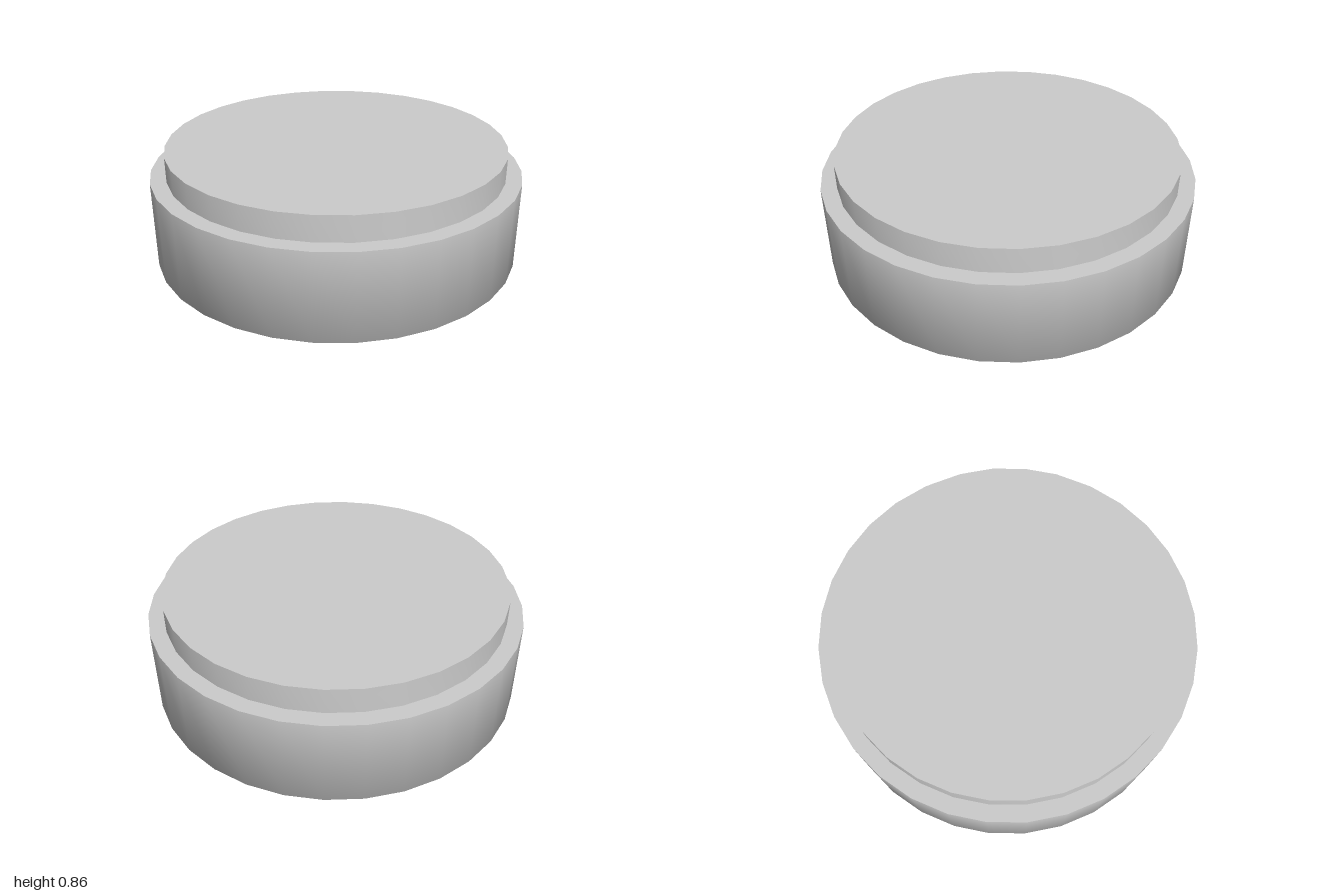
import * as THREE from 'three';
import { mergeVertices } from 'three/addons/utils/BufferGeometryUtils.js';

const SIDES = 32;
const material = new THREE.MeshStandardMaterial({ color: 0xcccccc });
const insideMaterial = new THREE.MeshStandardMaterial({ color: 0xcccccc, side: THREE.BackSide });

// Turned surface with area-weighted smooth normals; profile runs [radius, y]
function turned(profile) {
  const raw = new THREE.LatheGeometry(profile.map(([r, y]) => new THREE.Vector2(r, y)), SIDES);
  raw.deleteAttribute('normal');
  raw.deleteAttribute('uv');
  const geometry = mergeVertices(raw, 1e-4);
  geometry.computeVertexNormals();
  return geometry;
}

function add(parent, name, geometry, mat = material) {
  const mesh = new THREE.Mesh(geometry, mat);
  mesh.name = name;
  parent.add(mesh);
  return mesh;
}

// Rounded slot outline, long axis along the second coordinate
function slotPath(path, cx, radius, half) {
  path.moveTo(cx + radius, -half);
  path.lineTo(cx + radius, half);
  path.absarc(cx, half, radius, 0, Math.PI, false);
  path.lineTo(cx - radius, -half);
  path.absarc(cx, -half, radius, Math.PI, Math.PI * 2, false);
  return path;
}

export function createModel() {
  const model = new THREE.Group();
  model.name = 'ceilingDetector';

  // Mounting base on top
  const base = new THREE.Group();
  base.name = 'mountingBase';
  add(base, 'baseWall', turned([[0.915, 0.72], [0.915, 0.855]]));
  add(base, 'baseTop', turned([[0.915, 0.855], [0, 0.855]]));
  model.add(base);

  // Main housing with tapered underside
  const housing = new THREE.Group();
  housing.name = 'housing';
  add(housing, 'housingWall', turned([[0.71, 0.155], [1, 0.245], [1, 0.72]]));
  add(housing, 'housingShoulder', turned([[1, 0.72], [0.9, 0.72]]));
  add(housing, 'housingUnderside', turned([[0, 0.155], [0.71, 0.155]]));
  model.add(housing);

  // Ring of thin bars around the open vent
  const vent = new THREE.Group();
  vent.name = 'ventBars';
  const barGeometry = new THREE.BoxGeometry(0.02, 0.095, 0.02);
  for (let i = 0; i < SIDES; i++) {
    const angle = (i / SIDES) * Math.PI * 2;
    const bar = add(vent, 'ventBar', barGeometry);
    bar.position.set(Math.sin(angle) * 0.698, 0.11, Math.cos(angle) * 0.698);
    bar.rotation.y = angle;
  }
  model.add(vent);

  // Lower cap with a rounded recess in its face
  const cap = new THREE.Group();
  cap.name = 'lowerCap';
  add(cap, 'capRim', turned([[0.645, 0], [0.645, 0.04], [0.71, 0.064]]));
  add(cap, 'capTop', turned([[0.71, 0.064], [0, 0.064]]));

  const face = new THREE.Shape();
  for (let i = 0; i < SIDES; i++) {
    const a = (i / SIDES) * Math.PI * 2;
    const x = Math.cos(a) * 0.645, y = Math.sin(a) * 0.645;
    i ? face.lineTo(x, y) : face.moveTo(x, y);
  }
  face.holes.push(slotPath(new THREE.Path(), 0.32, 0.145, 0.17));
  add(cap, 'capFace', new THREE.ShapeGeometry(face, 6).rotateX(Math.PI / 2));

  const pocket = new THREE.ExtrudeGeometry(slotPath(new THREE.Shape(), 0.32, 0.145, 0.17),
    { depth: 0.04, bevelEnabled: false, curveSegments: 6 });
  pocket.rotateX(Math.PI / 2).translate(0, 0.04, 0);
  add(cap, 'slotRecess', pocket, insideMaterial);
  model.add(cap);

  return model;
}
